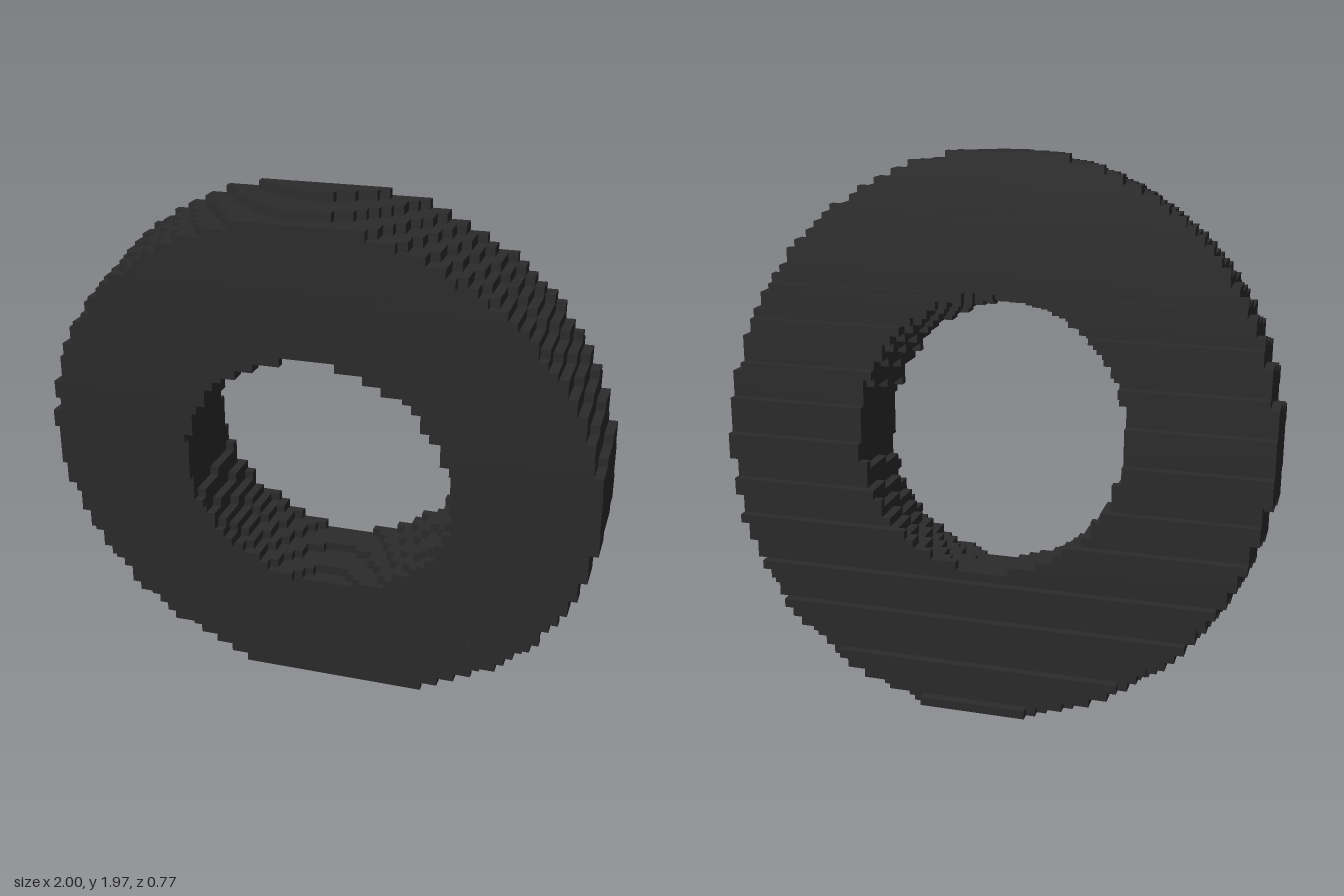
import * as THREE from 'three';

const VOXEL = 1 / 31; // edge length of one block
const TILT = 0.22; // lean of the ring towards the front, radians
const OUTER = 30.95, INNER = 15.2, HALF_WIDTH = 5.5; // in blocks
const ROWS = 61, HALF_X = 31, HALF_Z = 12;

// Is the block at column i, row j, layer k inside the tilted ring?
function solid(i, j, k) {
  if (j < 0 || j >= ROWS || k < -HALF_Z || k >= HALF_Z) return false;
  const x = i + 0.5, y = j + 0.5 - 29.99, z = k + 0.5 - 0.46;
  const up = y * Math.cos(TILT) + z * Math.sin(TILT);
  const across = z * Math.cos(TILT) - y * Math.sin(TILT);
  const r = Math.hypot(x, up);
  return Math.abs(across) <= HALF_WIDTH && r <= OUTER && r >= INNER;
}

// Outer skin of the blocks, with faces joined into strips along x
function blockRing() {
  const positions = [], normals = [];
  const addQuad = (corners, n) => {
    for (const c of [0, 1, 2, 0, 2, 3]) {
      positions.push(...corners[c].map((v) => v * VOXEL));
      normals.push(...n);
    }
  };
  // x0..x1 is the strip; s is the side of the block the face lies on
  const addFace = (axis, s, x0, x1, j, k) => {
    const f = s > 0 ? 1 : 0;
    let q;
    if (axis === 0) {
      const x = f ? x1 : x0;
      q = [[x, j, k], [x, j + 1, k], [x, j + 1, k + 1], [x, j, k + 1]];
    } else if (axis === 1) {
      q = [[x0, j + f, k], [x0, j + f, k + 1], [x1, j + f, k + 1], [x1, j + f, k]];
    } else {
      q = [[x0, j, k + f], [x1, j, k + f], [x1, j + 1, k + f], [x0, j + 1, k + f]];
    }
    const n = [0, 0, 0];
    n[axis] = s;
    addQuad(s > 0 ? q : q.reverse(), n);
  };

  for (let axis = 0; axis < 3; axis++) {
    for (const s of [-1, 1]) {
      const d = [0, 0, 0];
      d[axis] = s;
      for (let j = 0; j < ROWS; j++) {
        for (let k = -HALF_Z; k < HALF_Z; k++) {
          let start = null;
          for (let i = -HALF_X; i <= HALF_X; i++) {
            const open = solid(i, j, k) && !solid(i + d[0], j + d[1], k + d[2]);
            if (open && start === null) start = i;
            if (!open && start !== null) {
              addFace(axis, s, start, i, j, k);
              start = null;
            }
          }
        }
      }
    }
  }
  const geometry = new THREE.BufferGeometry();
  geometry.setAttribute('position', new THREE.Float32BufferAttribute(positions, 3));
  geometry.setAttribute('normal', new THREE.Float32BufferAttribute(normals, 3));
  return geometry;
}

export function createModel() {
  const group = new THREE.Group();
  group.name = 'leaningTyre';
  const rubber = new THREE.MeshStandardMaterial({ color: 0x2b2b2b });
  rubber.name = 'dark rubber';
  const tyre = new THREE.Mesh(blockRing(), rubber);
  tyre.name = 'tyre';
  group.add(tyre);
  return group;
}
